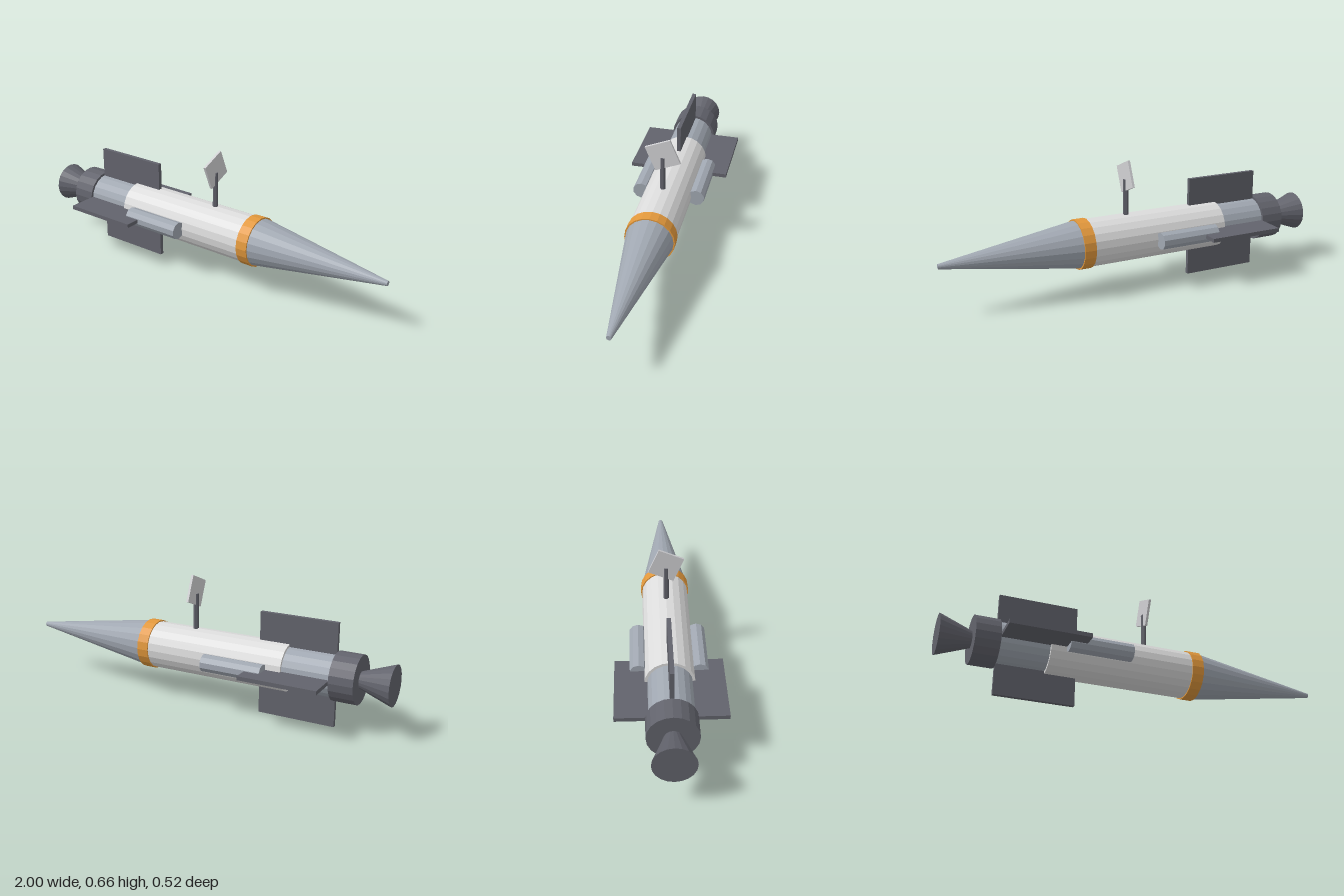
import * as THREE from 'three';

const AXIS_Y = 0.26;

function material(name, color) {
  const m = new THREE.MeshStandardMaterial({ color, flatShading: true });
  m.name = name;
  return m;
}

export function createModel() {
  const white = material('hullWhite', 0xdcdcdc);
  const grey = material('blueGrey', 0xa0a7b1);
  const dark = material('darkGrey', 0x62636c);
  const orange = material('orange', 0xe2983c);
  const pale = material('panelGrey', 0xd0d0d3);

  const group = new THREE.Group();
  group.name = 'rocket';

  function add(name, geometry, mat, x, y, z) {
    const mesh = new THREE.Mesh(geometry, mat);
    mesh.name = name;
    mesh.position.set(x, y, z);
    group.add(mesh);
    return mesh;
  }

  // Faceted round section lying along x, from the rear end to the front end
  function section(name, x0, x1, rRear, rFront, mat, sides = 20, z = 0) {
    const g = new THREE.CylinderGeometry(rFront, rRear, x1 - x0, sides, 1, false, Math.PI / 2);
    g.rotateZ(-Math.PI / 2);
    return add(name, g, mat, (x0 + x1) / 2, AXIS_Y, z);
  }

  // Hull, from tail to nose
  section('nozzle', -1, -0.835, 0.1, 0.04, dark);
  section('engineBlock', -0.84, -0.72, 0.12, 0.12, dark);
  section('rearHull', -0.73, -0.47, 0.107, 0.107, grey);
  section('mainHull', -0.48, 0.27, 0.12, 0.12, white);
  section('collarRing', 0.255, 0.315, 0.126, 0.126, orange);
  section('noseCone', 0.31, 1, 0.12, 0.012, grey);

  // Side pods and four fins
  for (const side of [-1, 1]) {
    section('sidePod', -0.403, -0.085, 0.044, 0.044, grey, 10, side * 0.145);
    add('sideFin', new THREE.BoxGeometry(0.396, 0.02, 0.18), dark, -0.522, AXIS_Y, side * 0.17);
    add('uprightFin', new THREE.BoxGeometry(0.396, 0.18, 0.02), dark, -0.522, AXIS_Y + side * 0.17, 0);
  }

  // Mast with a tilted square panel
  add('mast', new THREE.CylinderGeometry(0.0135, 0.0135, 0.2, 6), dark, 0.038, 0.46, 0);
  add('panel', new THREE.BoxGeometry(0.012, 0.136, 0.136), pale, 0.038, 0.574, 0).rotation.x = 0.4;

  return group;
}
